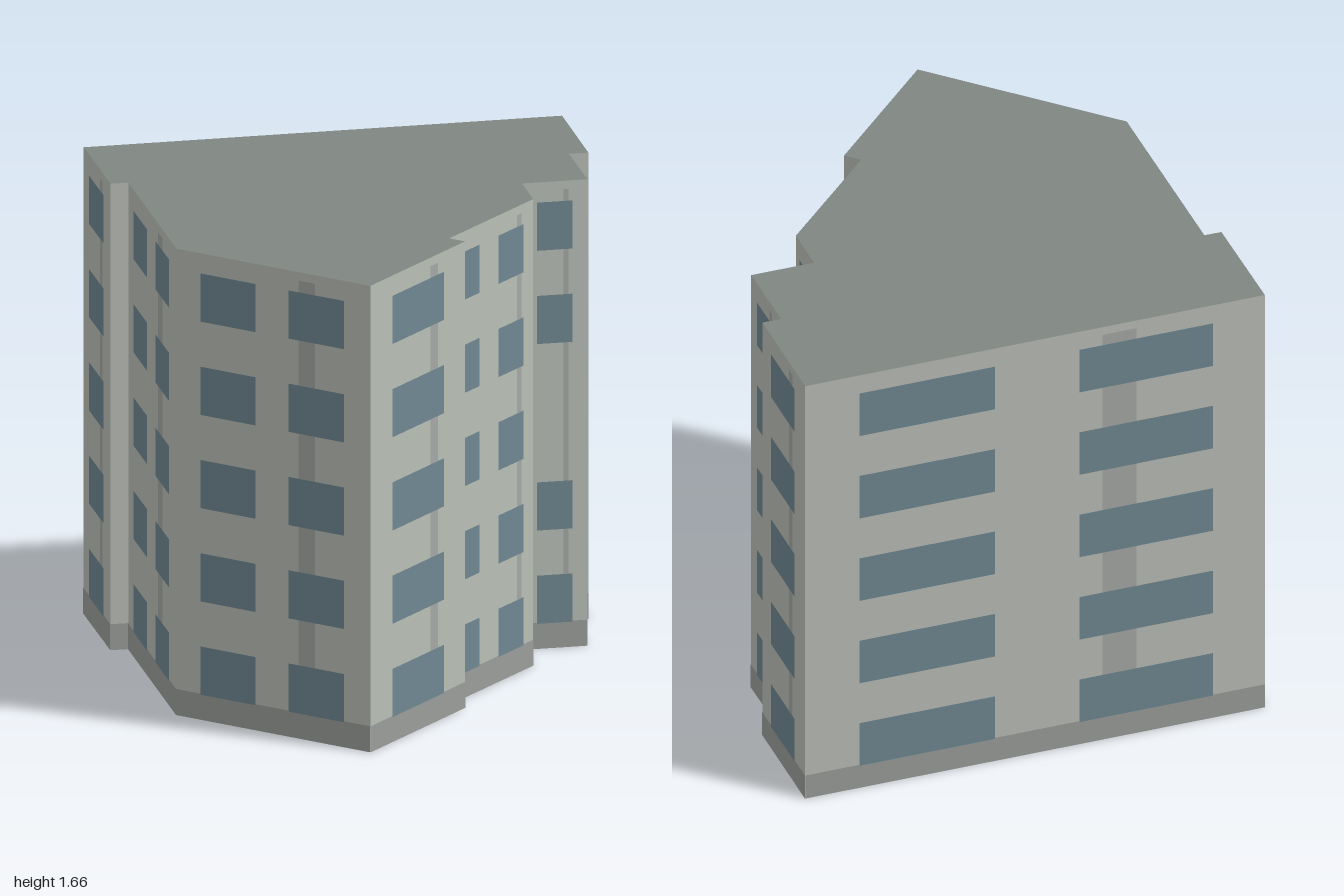
import * as THREE from 'three';

const HEIGHT = 1.665, FLOORS = 5, FLOOR = HEIGHT / FLOORS;
const PLINTH = 0.093, SILL = 0.09, WINDOW_HEIGHT = 0.172;

// Window spans and streak spans, as fractions of the wall length
const NONE = { windows: [] };
const ONE = { windows: [[0.225, 0.77]], streak: [0.63, 0.71] };
const TWO = { windows: [[0.127, 0.41], [0.58, 0.865]], streak: [0.63, 0.715] };
const RECESS = { windows: [[0.11, 0.35], [0.58, 0.875]], streak: [0.805, 0.855] };
const BACK = { windows: [[0.117, 0.412], [0.596, 0.887]], streak: [0.646, 0.72] };
const BLANK_MIDDLE = { ...ONE, skip: 2 };
const CORNER = { windows: [[0.235, 0.77]], skip: 2 };

// Footprint corners (x, z), each with the layout of the wall that starts there
const FOOTPRINT = [
  [-0.835, 0.155, ONE], [-0.54, 0.462, NONE], [-0.495, 0.42, TWO],
  [0.035, 0.975, TWO], [0.82, 0.993, ONE], [0.832, 0.393, NONE],
  [0.768, 0.392, RECESS], [0.78, -0.138, CORNER], [0.655, -0.27, BLANK_MIDDLE],
  [0.82, -0.428, ONE], [0.615, -0.642, NONE], [0.665, -0.688, ONE],
  [0.37, -1, BACK],
];

export function createModel() {
  const building = new THREE.Group();
  building.name = 'apartmentBlock';

  const paint = (color, side = THREE.FrontSide) =>
    new THREE.MeshStandardMaterial({ color, side, roughness: 0.9 });
  const wallPaint = paint(0xb9beb6, THREE.DoubleSide);
  const roofPaint = paint(0x7f8783, THREE.DoubleSide);
  const plinthPaint = paint(0x9a9d99);
  const streakPaint = paint(0xa4a8a3);
  const glassPaint = paint(0x6f8791);

  // Upright rectangle on a wall, lying a hair in front of it
  function panel(wall, name, material, x0, x1, y0, y1, offset) {
    const mesh = new THREE.Mesh(new THREE.PlaneGeometry(x1 - x0, y1 - y0), material);
    mesh.position.set((x0 + x1) / 2, (y0 + y1) / 2, offset);
    mesh.name = name;
    wall.add(mesh);
  }

  FOOTPRINT.forEach(([x, z, layout], i) => {
    const [nextX, nextZ] = FOOTPRINT[(i + 1) % FOOTPRINT.length];
    const length = Math.hypot(nextX - x, nextZ - z);

    // Wall frame: x runs along the wall, z points outwards
    const wall = new THREE.Group();
    wall.name = `wall${i + 1}`;
    wall.position.set(x, 0, z);
    wall.rotation.y = Math.atan2(z - nextZ, nextX - x);
    building.add(wall);

    panel(wall, 'wallFace', wallPaint, 0, length, 0, HEIGHT, 0);
    panel(wall, 'plinth', plinthPaint, 0, length, 0, PLINTH, 0.0015);

    // Weathered vertical streak behind the windows
    if (layout.streak) {
      const [a, b] = layout.streak;
      panel(wall, 'streak', streakPaint, a * length, b * length, PLINTH, HEIGHT - 0.03, 0.0015);
    }

    // Rows of windows
    for (let floor = 0; floor < FLOORS; floor++) {
      if (floor === layout.skip) continue;
      const y = floor * FLOOR + SILL;
      for (const [a, b] of layout.windows) {
        panel(wall, 'window', glassPaint, a * length, b * length, y, y + WINDOW_HEIGHT, 0.003);
      }
    }
  });

  // Flat roof; the underside of the block stays open
  const outline = new THREE.Shape(FOOTPRINT.map(([x, z]) => new THREE.Vector2(x, -z)));
  const roof = new THREE.Mesh(new THREE.ShapeGeometry(outline).rotateX(-Math.PI / 2), roofPaint);
  roof.position.y = HEIGHT;
  roof.name = 'roof';
  building.add(roof);

  return building;
}
